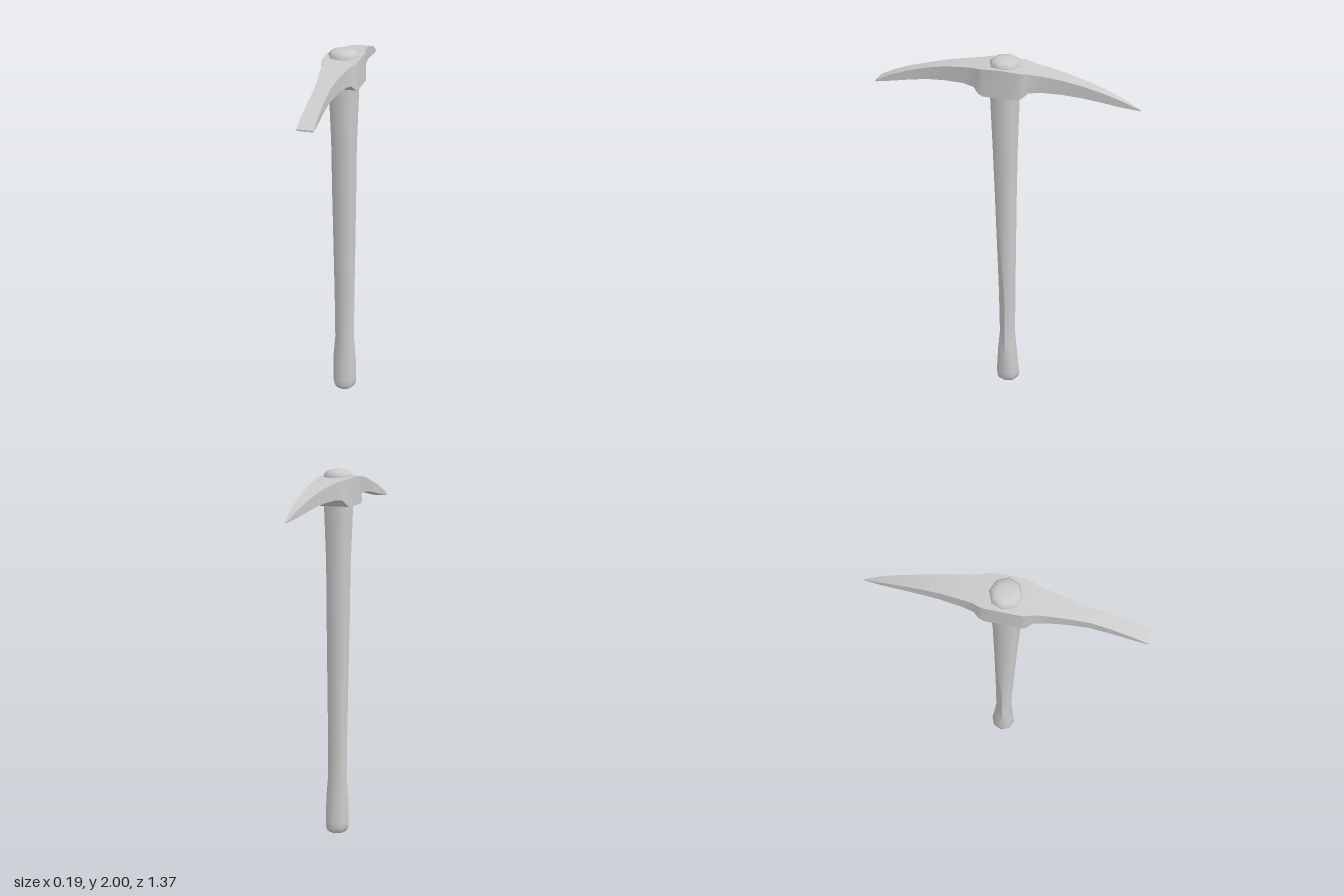
import * as THREE from 'three';
import { toCreasedNormals } from 'three/addons/utils/BufferGeometryUtils.js';

// Skin a list of closed rings (counter-clockwise about the loft direction) and cap both ends
function loft(rings, crease) {
  const n = rings[0].length;
  const pos = rings.flat(2);
  const index = [];
  for (let i = 0; i < rings.length - 1; i++) {
    for (let j = 0; j < n; j++) {
      const a = i * n + j, b = i * n + (j + 1) % n;
      index.push(a, b, a + n, b, b + n, a + n);
    }
  }
  const last = (rings.length - 1) * n;
  for (let j = 1; j < n - 1; j++) {
    index.push(0, j + 1, j, last, last + j, last + j + 1);
  }
  const g = new THREE.BufferGeometry();
  g.setAttribute('position', new THREE.Float32BufferAttribute(pos, 3));
  g.setIndex(index);
  return toCreasedNormals(g, crease);
}

export function createModel() {
  const group = new THREE.Group();
  const material = new THREE.MeshStandardMaterial({ color: 0xcccccc });
  const add = (name, geometry) => {
    const mesh = new THREE.Mesh(geometry, material);
    mesh.name = name;
    group.add(mesh);
  };

  // Eight-sided shaft: [y, half width, back z, front z]
  const shaft = [
    [0, 0.05, -0.072, 0.035],
    [0.008, 0.058, -0.08, 0.042],
    [0.03, 0.068, -0.088, 0.05],
    [0.06, 0.068, -0.086, 0.048],
    [0.19, 0.066, -0.073, 0.041],
    [0.32, 0.055, -0.061, 0.03],
    [0.6, 0.057, -0.061, 0.035],
    [1.2, 0.066, -0.065, 0.055],
    [1.5, 0.069, -0.069, 0.066],
    [1.81, 0.081, -0.078, 0.079],
    [1.96, 0.081, -0.081, 0.077],
    [1.975, 0.079, -0.079, 0.075],
    [1.992, 0.065, -0.065, 0.061],
    [2, 0.035, -0.036, 0.032],
  ];
  add('handle', loft(shaft.map(([y, w, back, front]) =>
    Array.from({ length: 8 }, (_, k) => {
      const a = k * Math.PI / 4;
      return [w * Math.sin(a), y, (front + back) / 2 + (front - back) / 2 * Math.cos(a)];
    })), 0.9));

  // Head from pointed pick (back) to chisel (front):
  // [z, bottom y, top y, half width at bottom, half width at top]
  const head = [
    [-0.685, 1.803, 1.809, 0.003, 0.003],
    [-0.6, 1.815, 1.848, 0.015, 0.017],
    [-0.5, 1.833, 1.884, 0.026, 0.028],
    [-0.4, 1.849, 1.912, 0.036, 0.038],
    [-0.3, 1.859, 1.934, 0.047, 0.049],
    [-0.2, 1.863, 1.949, 0.062, 0.064],
    [-0.14, 1.856, 1.955, 0.073, 0.073],
    [-0.115, 1.832, 1.958, 0.088, 0.084],
    [-0.09, 1.819, 1.961, 0.093, 0.091],
    [0, 1.818, 1.966, 0.093, 0.093],
    [0.09, 1.819, 1.961, 0.093, 0.091],
    [0.115, 1.832, 1.958, 0.088, 0.084],
    [0.14, 1.856, 1.955, 0.073, 0.073],
    [0.2, 1.863, 1.949, 0.061, 0.063],
    [0.3, 1.859, 1.934, 0.046, 0.049],
    [0.4, 1.849, 1.912, 0.036, 0.038],
    [0.5, 1.833, 1.884, 0.037, 0.038],
    [0.6, 1.815, 1.848, 0.039, 0.04],
    [0.68, 1.802, 1.81, 0.04, 0.041],
  ];
  add('pickHead', loft(head.map(([z, b, t, wb, wt]) =>
    [[wb, b, z], [wt, t, z], [-wt, t, z], [-wb, b, z]]), 0.8));

  return group;
}
